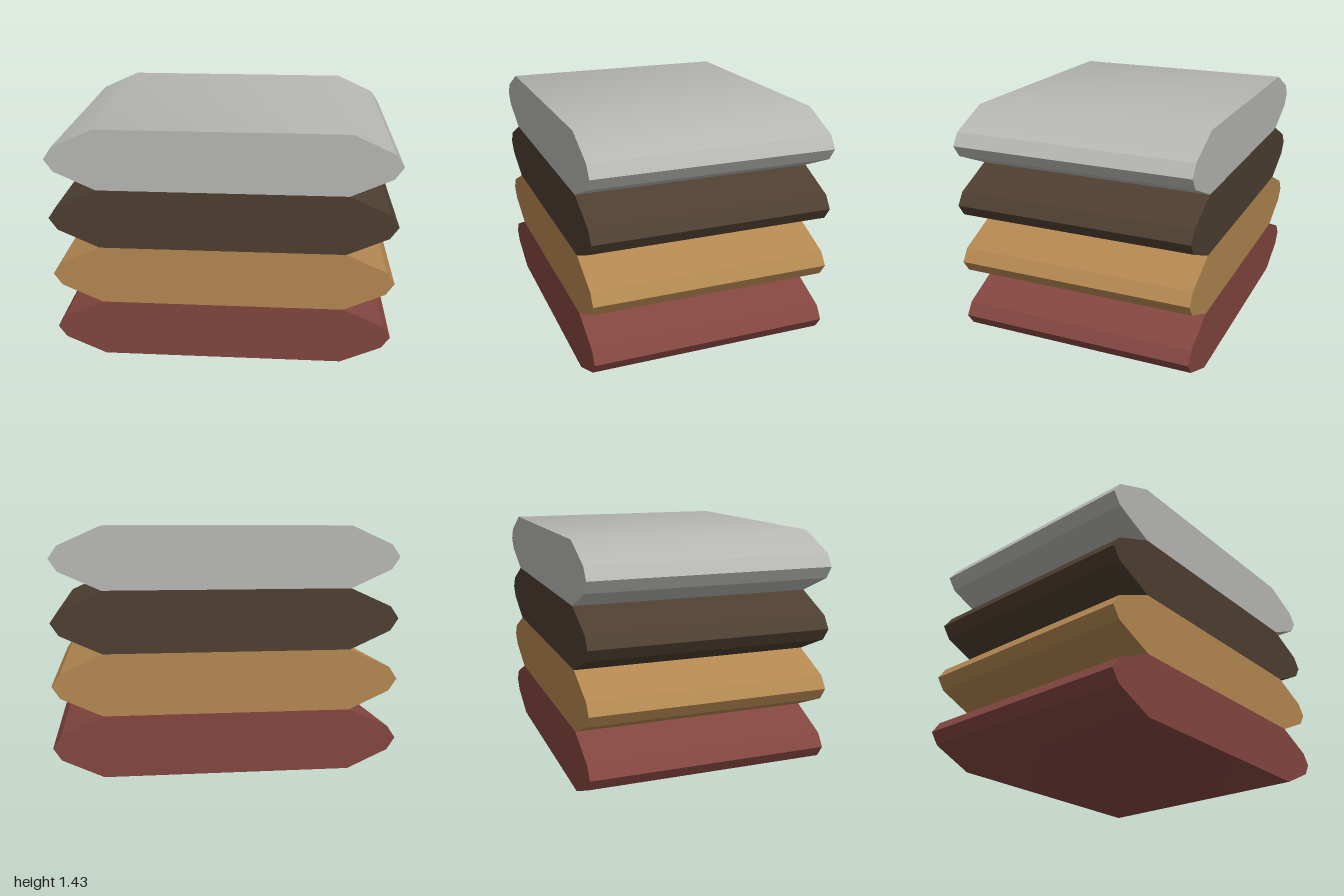
import * as THREE from 'three';
import { toCreasedNormals } from 'three/addons/utils/BufferGeometryUtils.js';

const LAYER = 0.357;  // height of one slab
const DEPTH = 1.42;

// Bevelled slab outline, extruded front to back
function slabGeometry(openTop, openBottom) {
  const h = LAYER / 2;
  const corners = [
    [-0.714, -h], [0.714, -h], [0.952, -0.071], [1, 0], [0.952, 0.071],
    [0.714, h], [-0.714, h], [-0.952, 0.071], [-1, 0], [-0.952, -0.071],
  ];
  const shape = new THREE.Shape(corners.map(([x, y]) => new THREE.Vector2(x, y)));
  const solid = new THREE.ExtrudeGeometry(shape, { depth: DEPTH, bevelEnabled: false });
  solid.translate(0, 0, -DEPTH / 2);

  // Leave out the contact faces hidden between stacked slabs
  const source = solid.getAttribute('position');
  const kept = [];
  for (let i = 0; i < source.count; i += 3) {
    const ys = [0, 1, 2].map((k) => source.getY(i + k));
    if (openTop && ys.every((y) => y > h - 0.001)) continue;
    if (openBottom && ys.every((y) => y < -h + 0.001)) continue;
    for (let k = 0; k < 3; k++) kept.push(source.getX(i + k), ys[k], source.getZ(i + k));
  }
  const geometry = new THREE.BufferGeometry();
  geometry.setAttribute('position', new THREE.Float32BufferAttribute(kept, 3));
  // Shallow bevels blend into the outer faces, rims stay sharp
  return toCreasedNormals(geometry, THREE.MathUtils.degToRad(30));
}

export function createModel() {
  const model = new THREE.Group();
  model.name = 'slabStack';

  // Slabs from bottom to top
  const layers = [
    ['redSlab', 'brick red', 0x82453f],
    ['tanSlab', 'tan', 0xb28650],
    ['brownSlab', 'dark brown', 0x4d3e30],
    ['greySlab', 'light grey', 0xb6b6b3],
  ];
  layers.forEach(([name, colorName, color], i) => {
    const material = new THREE.MeshStandardMaterial({ color });
    material.name = colorName;
    const slab = new THREE.Mesh(slabGeometry(i < layers.length - 1, i > 0), material);
    slab.name = name;
    slab.position.y = LAYER * (i + 0.5);
    model.add(slab);
  });
  return model;
}
